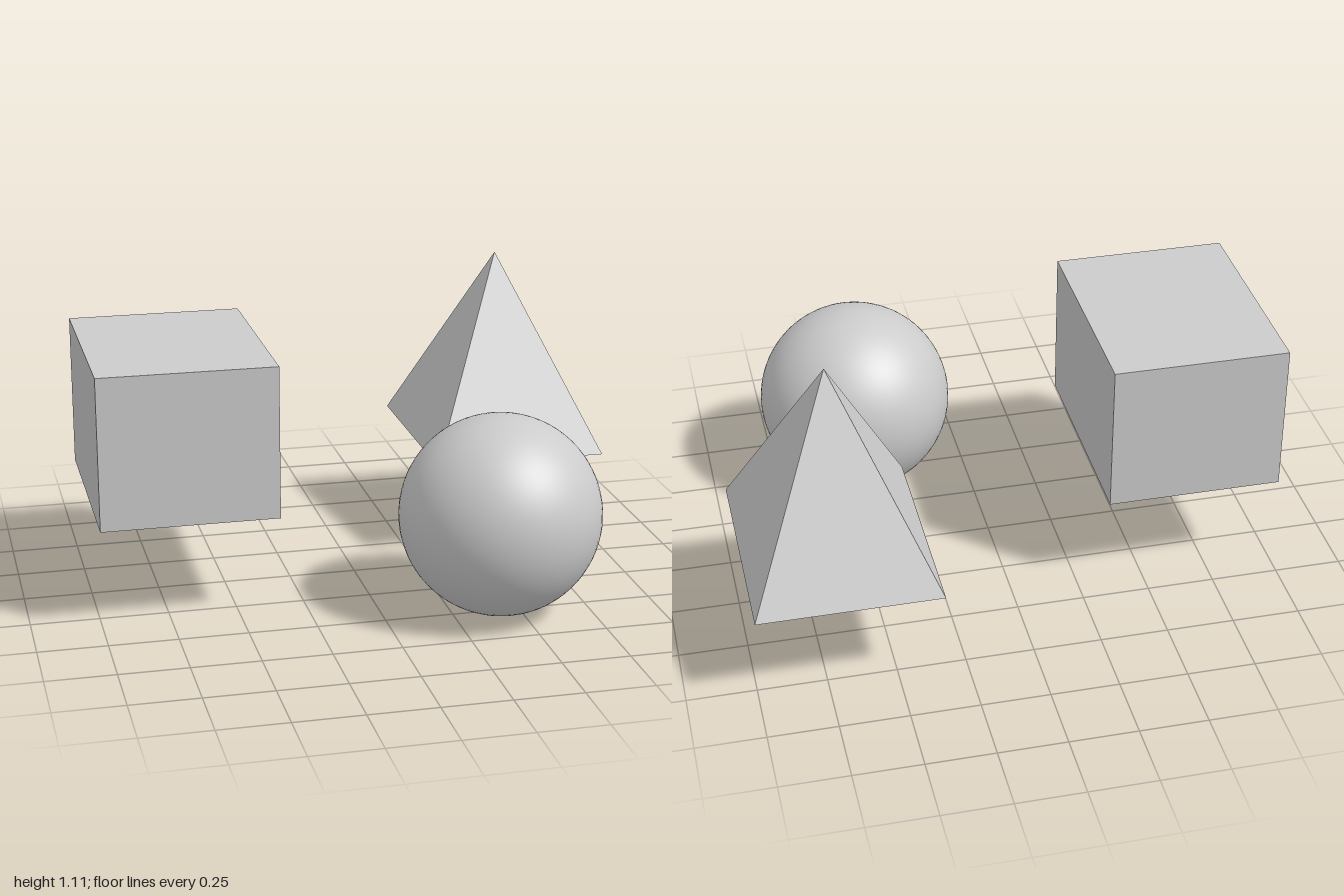
import * as THREE from 'three';

export function createModel() {
  const model = new THREE.Group();
  const smooth = new THREE.MeshStandardMaterial({ color: 0xcccccc });
  const flat = new THREE.MeshStandardMaterial({ color: 0xcccccc, flatShading: true });

  function add(name, geometry, material, x, y, z) {
    const mesh = new THREE.Mesh(geometry, material);
    mesh.name = name;
    mesh.position.set(x, y, z);
    model.add(mesh);
  }

  // Rectangular block
  add('box', new THREE.BoxGeometry(0.645, 0.563, 0.82), flat, -0.677, 0.656, -0.04);

  // Ball, touching the ground
  add('sphere', new THREE.SphereGeometry(0.367, 64, 40), smooth, 0.427, 0.367, 0.485);

  // Four-sided pyramid: a unit cone turned square to the axes, then stretched
  const pyramid = new THREE.ConeGeometry(Math.SQRT1_2, 1, 4)
    .rotateY(Math.PI / 4)
    .scale(0.66, 0.73, 0.804);
  add('pyramid', pyramid, flat, 0.67, 0.74, -0.451);

  return model;
}
